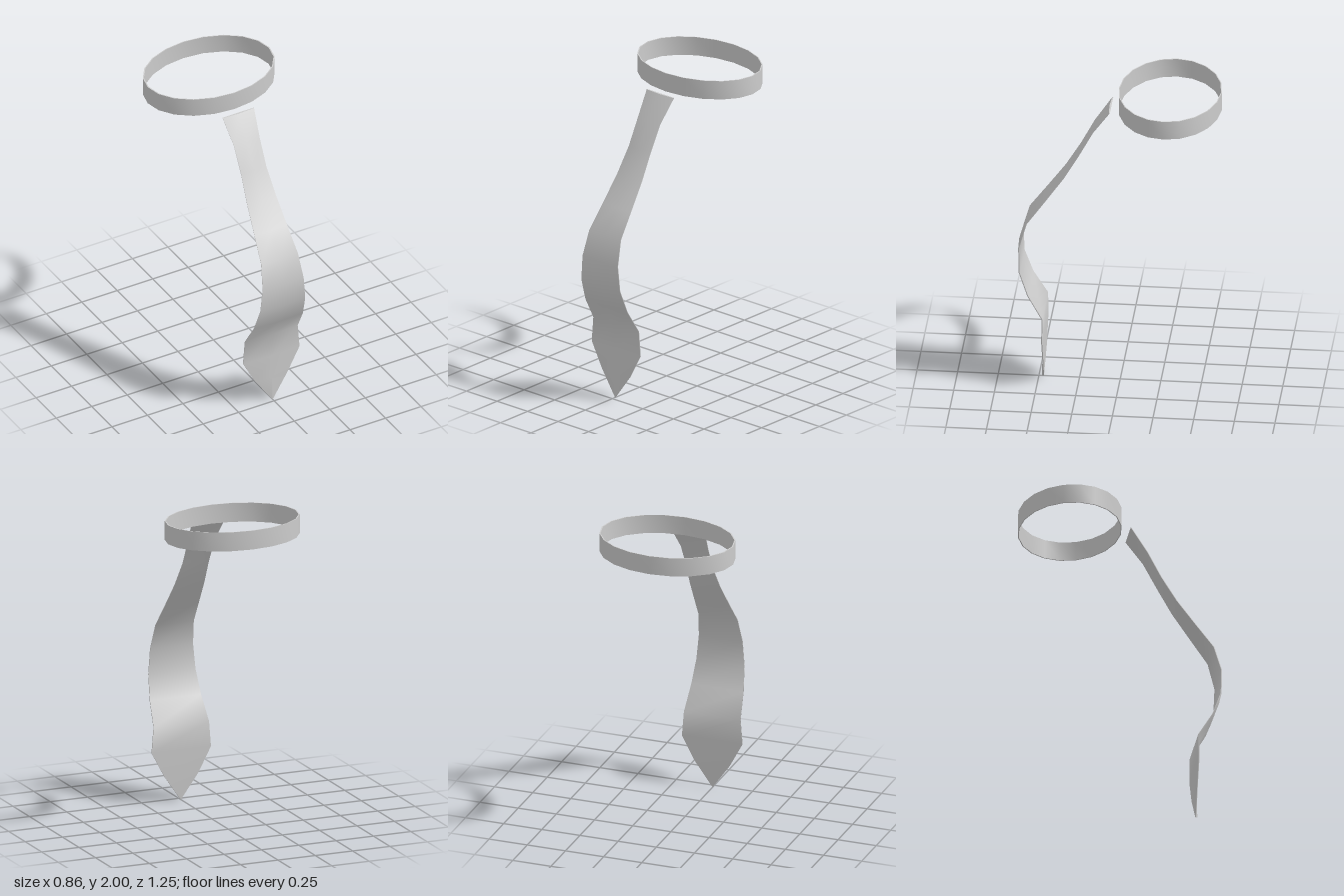
import * as THREE from 'three';
import { toCreasedNormals } from 'three/addons/utils/BufferGeometryUtils.js';

// Centre line of the tie, top to tip: height, depth, half width
const TIE = [
  [1.88, 0.06, 0.11], [1.73, 0.165, 0.09], [1.57, 0.25, 0.088], [1.41, 0.345, 0.1],
  [1.25, 0.46, 0.114], [1.1, 0.57, 0.128], [0.94, 0.615, 0.143], [0.78, 0.61, 0.157],
  [0.63, 0.557, 0.171], [0.48, 0.468, 0.185], [0.32, 0.468, 0.198], [0.16, 0.469, 0.113],
  [0, 0.476, 0],
];

// Cross-sections as [share of half width, depth offset]: a softly bowed front and a flat back
const FRONT = [[-1, -0.007], [-1, -0.001], [0, 0.006], [1, -0.001], [1, -0.007]];
const BACK = [[1, -0.007], [-1, -0.007]];

function createTieGeometry() {
  const positions = [];
  const indices = [];
  for (const section of [FRONT, BACK]) {
    const start = positions.length / 3;
    const n = section.length;
    TIE.forEach(([y, z, w], row) => {
      for (const [sx, dz] of section) positions.push(sx * w, y, z + dz);
      if (row === 0) return;
      for (let i = 0; i < n - 1; i++) {
        const a = start + (row - 1) * n + i;
        const c = a + n;
        indices.push(a, c, a + 1, a + 1, c, c + 1);
      }
    });
  }
  // Cap closing the top end
  const cap = positions.length / 3;
  const [y, z, w] = TIE[0];
  for (const [sx, dz] of FRONT) positions.push(sx * w, y, z + dz);
  for (let i = 1; i < FRONT.length - 1; i++) indices.push(cap, cap + i, cap + i + 1);

  const geometry = new THREE.BufferGeometry();
  geometry.setAttribute('position', new THREE.Float32BufferAttribute(positions, 3));
  geometry.setIndex(indices);
  geometry.computeVertexNormals();
  return geometry;
}

function createCollarGeometry() {
  // Thin upright band turned around 20 sides, then stretched to an oval
  const wall = [[1, 1.88], [1, 2], [0.982, 2], [0.982, 1.88], [1, 1.88]];
  const band = new THREE.LatheGeometry(wall.map(([r, h]) => new THREE.Vector2(r, h)), 20);
  band.scale(0.43, 1, 0.317);
  band.translate(0, 0, -0.308);
  return toCreasedNormals(band, 0.9);
}

export function createModel() {
  const fabric = new THREE.MeshStandardMaterial({ color: 0xcccccc });
  fabric.name = 'light grey fabric';

  const tie = new THREE.Mesh(createTieGeometry(), fabric);
  tie.name = 'tie';

  const collar = new THREE.Mesh(createCollarGeometry(), fabric);
  collar.name = 'collarBand';

  const model = new THREE.Group();
  model.name = 'necktie';
  model.add(tie, collar);
  return model;
}
